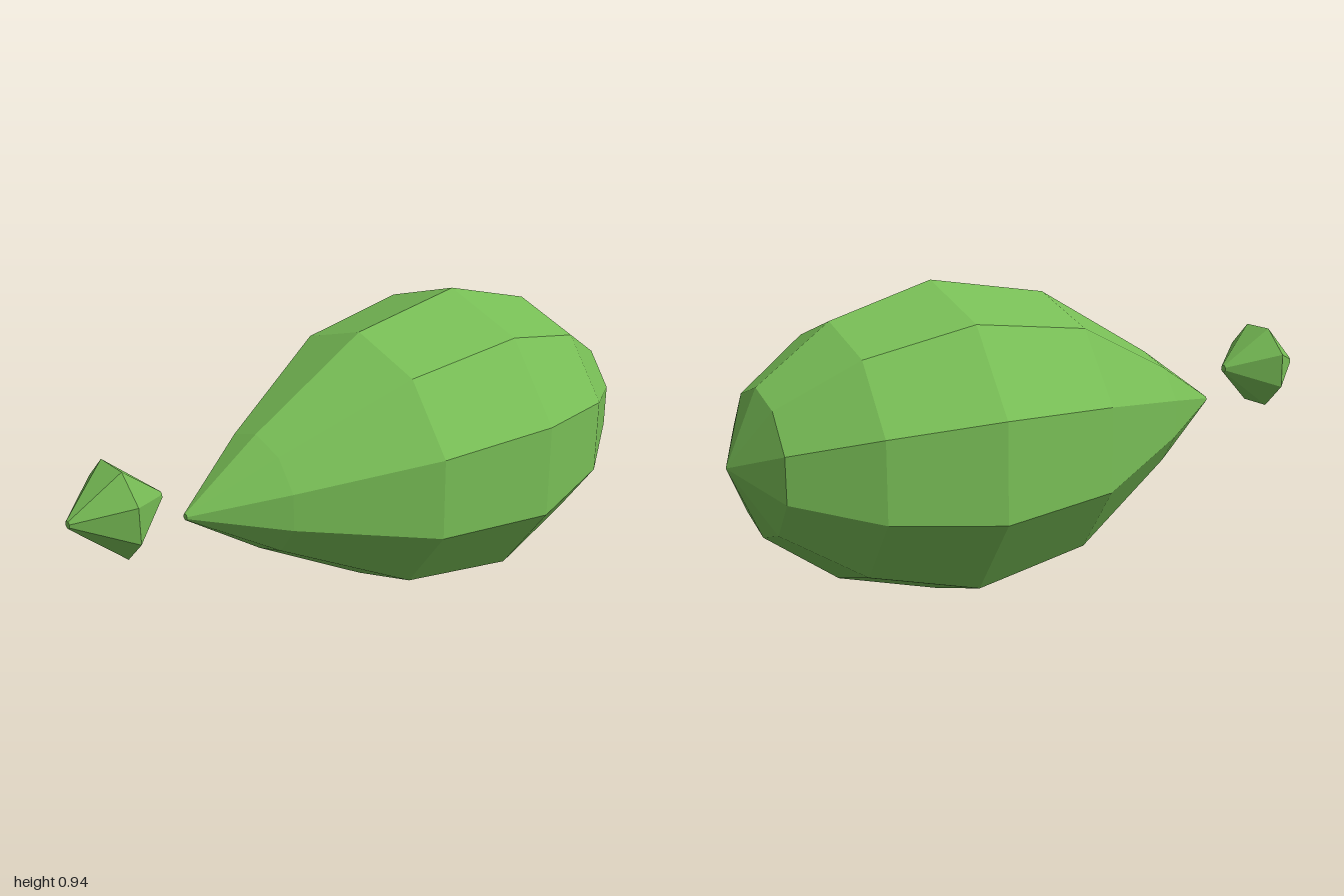
import * as THREE from 'three';

const leafGreen = new THREE.MeshStandardMaterial({ color: 0x78be56, flatShading: true });
leafGreen.name = 'leafGreen';

// Faceted solid turned around the z axis; profile is [radius, z] from back to front
function turned(name, profile, sides, phase, y) {
  const points = profile.map(([r, z]) => new THREE.Vector2(r, z));
  const geometry = new THREE.LatheGeometry(points, sides, phase).rotateX(Math.PI / 2);
  const mesh = new THREE.Mesh(geometry, leafGreen);
  mesh.name = name;
  mesh.position.y = y;
  return mesh;
}

export function createModel() {
  const model = new THREE.Group();
  model.name = 'taperedPodWithBead';

  // Ten-sided pod, rounded at the back and pointed at the front
  model.add(turned('pod', [
    [0, -1], [0.215, -0.905], [0.378, -0.685], [0.471, -0.37],
    [0.409, 0.005], [0.185, 0.39], [0.01, 0.64], [0, 0.64],
  ], 10, 0, 0.474));

  // Small eight-sided double cone floating ahead of the tip
  model.add(turned('bead', [
    [0, 0.716], [0.012, 0.716], [0.142, 0.858], [0.012, 1], [0, 1],
  ], 8, Math.PI / 8, 0.568));

  return model;
}
